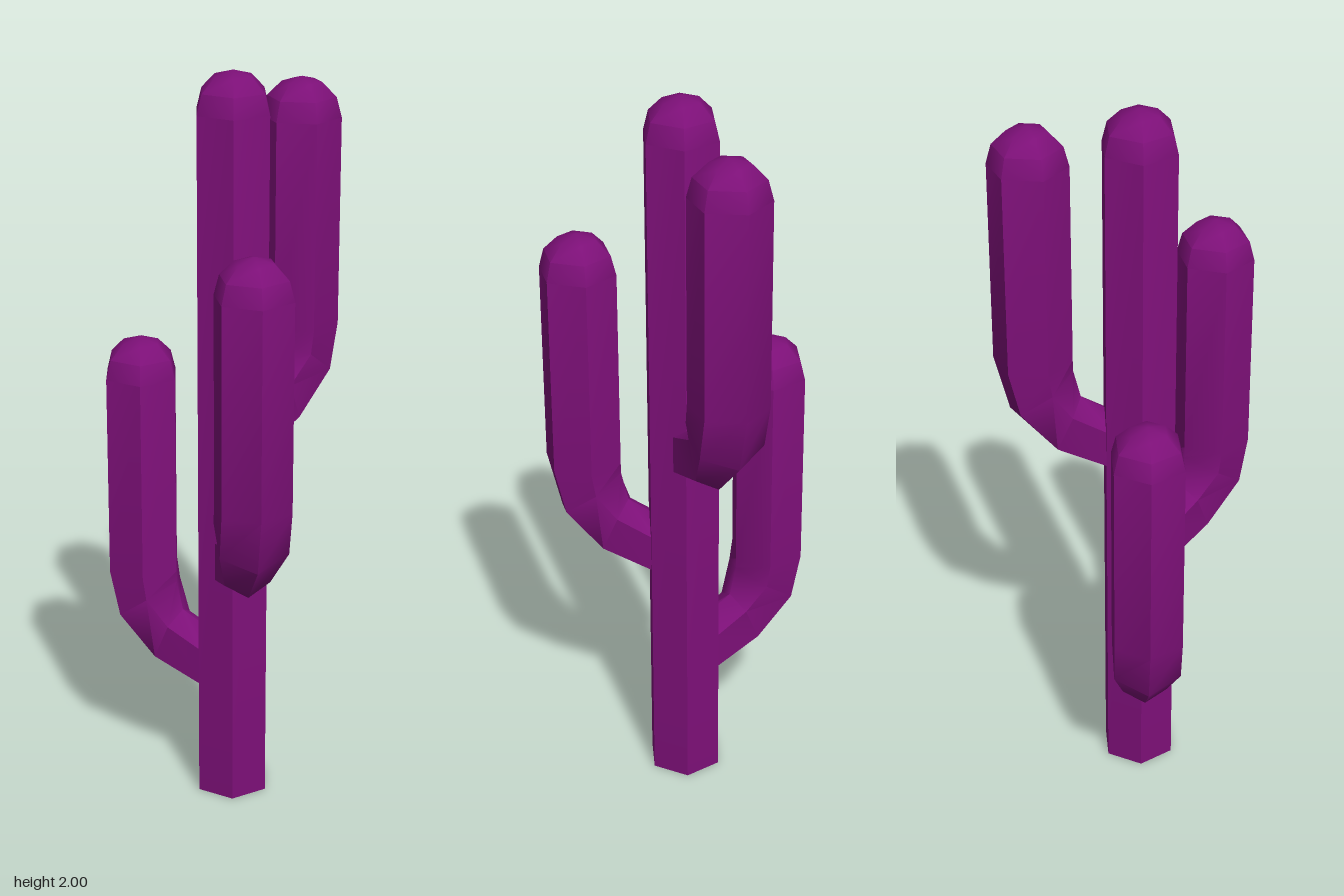
import * as THREE from 'three';
import { toCreasedNormals } from 'three/addons/utils/BufferGeometryUtils.js';

const R = 0.105; // stem radius (six-sided)
const material = new THREE.MeshStandardMaterial({ color: 0x7d1078, side: THREE.DoubleSide });

// Six-sided ring in a bend plane: outer and inner corner [x, y], half width, inset of the side corners
function ring([ox, oy], [ix, iy], w, f = 0.25) {
  const at = (t, z) => new THREE.Vector3(ox + (ix - ox) * t, oy + (iy - oy) * t, z);
  return [at(0, 0), at(f, w), at(1 - f, w), at(1, 0), at(1 - f, -w), at(f, -w)];
}

// Level ring around a vertical axis at distance x
const level = (x, y, r) => ring([x + r, y], [x - r, y], r * Math.sqrt(0.75));

// Rounded tip: rings shrinking along a quarter circle
function dome(x, y) {
  return [0, 1, 2, 3].map((i) => {
    const a = (i * Math.PI) / 6;
    return level(x, y + R * Math.sin(a), i === 3 ? 0 : R * Math.cos(a));
  });
}

// Skin a stack of rings, listed from root to tip
function loft(rings) {
  const pos = [];
  const tri = (...pts) => pts.forEach((p) => pos.push(p.x, p.y, p.z));
  for (let i = 0; i < rings.length - 1; i++) {
    const last = i === rings.length - 2;
    for (let j = 0; j < 6; j++) {
      const k = (j + 1) % 6;
      tri(rings[i][j], rings[i + 1][j], rings[i][k]);
      if (!last) tri(rings[i][k], rings[i + 1][j], rings[i + 1][k]);
    }
  }
  const geometry = new THREE.BufferGeometry();
  geometry.setAttribute('position', new THREE.Float32BufferAttribute(pos, 3));
  return toCreasedNormals(geometry, 1.02);
}

export function createModel() {
  const model = new THREE.Group();
  model.name = 'cactus';

  const plant = new THREE.Group();
  plant.name = 'plant';
  plant.position.set(0.05, 0, 0.03);
  model.add(plant);

  // Trunk, open at the foot
  const trunk = new THREE.Mesh(loft([level(0, 0, R), ...dome(0, 2 - R)]), material);
  trunk.name = 'trunk';
  plant.add(trunk);

  // Arm: thin stub leaving the trunk, elbow, upright stem, rounded tip
  const armGeometry = loft([
    ring([0.05, 0.27], [0.05, 0.44], 0.06, 0.2),
    ring([0.225, 0.325], [0.155, 0.49], 0.06, 0.2),
    ring([0.345, 0.445], [0.175, 0.57], 0.09),
    level(0.28, 0.6, R),
    ...dome(0.28, 1.155),
  ]);

  // The same arm at three heights around the trunk
  const arms = [
    ['rightArm', 180, 0],
    ['frontLeftArm', -50, 0.34],
    ['backArm', 80, 0.68],
  ];
  for (const [name, degrees, y] of arms) {
    const arm = new THREE.Mesh(armGeometry, material);
    arm.name = name;
    arm.rotation.y = THREE.MathUtils.degToRad(degrees);
    arm.position.y = y;
    plant.add(arm);
  }
  return model;
}
